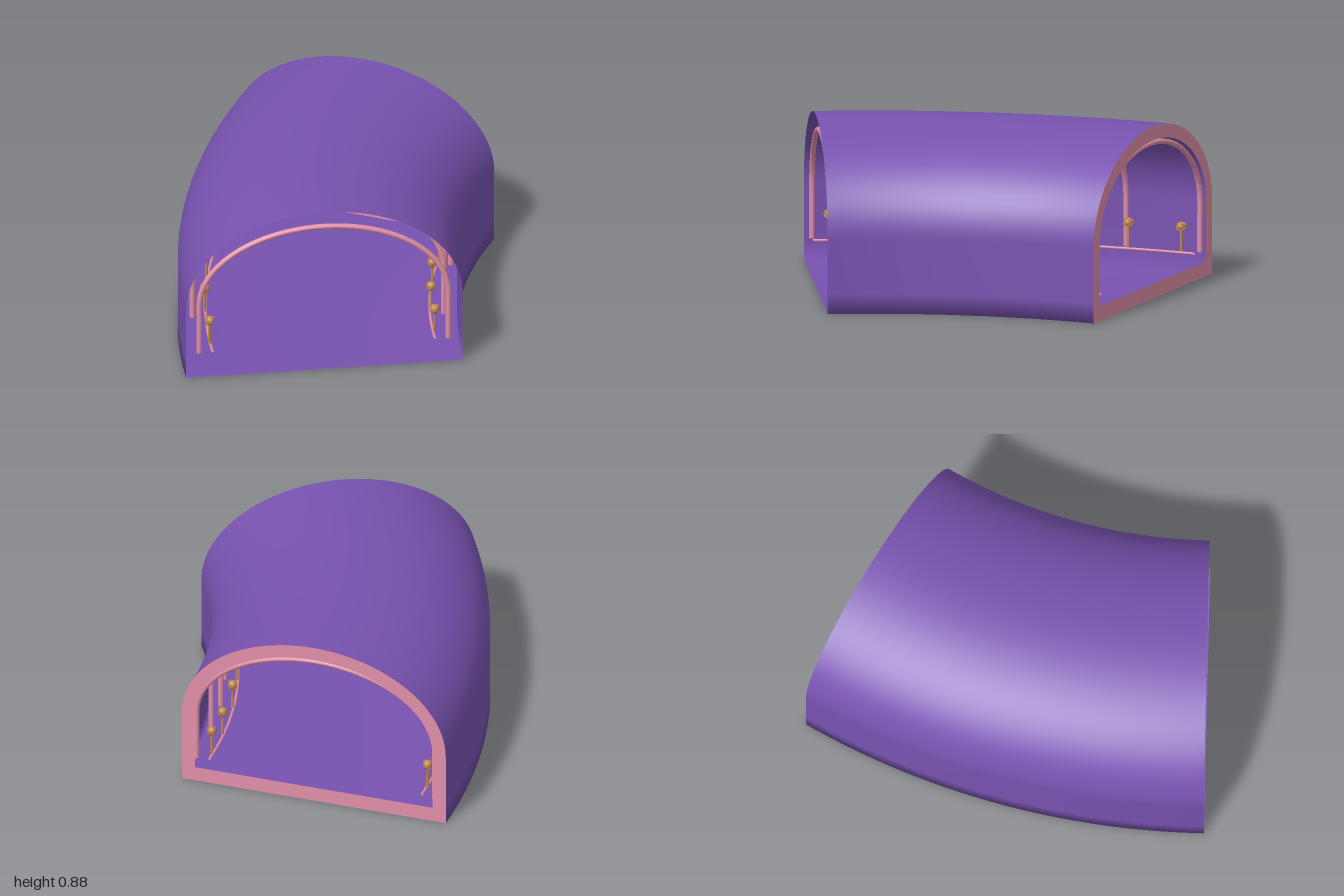
import * as THREE from 'three';

const CX = 3.125;      // centre of the bend
const R = 3.3025;      // bend radius of the centre line
const HALF = 0.6975;   // half width of the tunnel
const SPRING = 0.38;   // height where the vault starts
const TOP = 0.875;
const BEND = Math.PI / 6;
const rad = THREE.MathUtils.degToRad;

const material = (name, color, side = THREE.FrontSide) => {
  const m = new THREE.MeshStandardMaterial({ color, side });
  m.name = name;
  return m;
};

// Point on the bent tunnel: angle along the bend, offset across it, height
const onBend = (a, offset, y) => new THREE.Vector3(
  CX - (R - offset) * Math.cos(a), y, 1 - (R - offset) * Math.sin(a));

// Arch outline from the -x foot over the top to the +x foot
function archPoints(half, top, feet, steps = 40) {
  const pts = feet.map((y) => new THREE.Vector2(-half, y));
  for (let i = 0; i <= steps; i++) {
    const t = Math.PI * (1 - i / steps);
    pts.push(new THREE.Vector2(half * Math.cos(t), SPRING + (top - SPRING) * Math.sin(t)));
  }
  [...feet].reverse().forEach((y) => pts.push(new THREE.Vector2(half, y)));
  return pts;
}

// Closed section (vault, walls and floor) swept along the bend
function shellGeometry() {
  const section = archPoints(HALF, TOP, [0, 0.1]);
  const n = section.length, rows = 32;
  const pos = [], index = [];
  for (let j = 0; j <= rows; j++) {
    for (const p of section) pos.push(...onBend(BEND * j / rows, p.x, p.y).toArray());
  }
  for (let j = 0; j < rows; j++) {
    for (let i = 0; i < n; i++) {
      const a = j * n + i, b = j * n + (i + 1) % n, c = a + n, d = b + n;
      index.push(a, b, c, b, d, c);
    }
  }
  const g = new THREE.BufferGeometry();
  g.setAttribute('position', new THREE.Float32BufferAttribute(pos, 3));
  g.setIndex(index);
  g.computeVertexNormals();
  return g;
}

export function createModel() {
  const model = new THREE.Group();
  model.name = 'curvedTunnel';
  const purple = material('purple', 0x7852b0, THREE.DoubleSide);
  const pinkSheet = material('pink', 0xe08fa8, THREE.DoubleSide);
  const gold = material('gold', 0xc08a50);

  const add = (parent, name, geometry, mat) => {
    const mesh = new THREE.Mesh(geometry, mat);
    mesh.name = name;
    parent.add(mesh);
    return mesh;
  };
  // Group standing across the tunnel at a given angle of the bend
  const station = (name, a, offset = 0) => {
    const g = new THREE.Group();
    g.name = name;
    g.position.copy(onBend(a, offset, 0));
    g.rotation.y = -a;
    model.add(g);
    return g;
  };

  add(model, 'tunnelShell', shellGeometry(), purple);

  // Flat rim closing the edge of the rear opening
  const rim = new THREE.Shape(archPoints(HALF, TOP, [0]));
  rim.holes.push(new THREE.Path(archPoints(HALF - 0.07, TOP - 0.07, [0.075]).reverse()));
  add(station('rearEnd', BEND), 'rearRim', new THREE.ShapeGeometry(rim), pinkSheet);

  // Ribs under the vault
  const ribPath = new THREE.CatmullRomCurve3(
    archPoints(HALF - 0.07, 0.782, [0.12, 0.2, 0.3], 30).map((p) => new THREE.Vector3(p.x, p.y, 0)));
  const ribGeometry = new THREE.TubeGeometry(ribPath, 80, 0.014, 10);
  for (let i = 0; i < 6; i++) {
    add(station('ribStation', rad(0.5 + 5.8 * i)), 'rib', ribGeometry, pinkSheet);
  }

  // Rails along both walls, with a row of lamps on each
  const post = new THREE.CylinderGeometry(0.006, 0.008, 0.12, 8).translate(0, 0.18, 0);
  const bulb = new THREE.SphereGeometry(0.024, 16, 12);
  const ring = new THREE.TorusGeometry(0.025, 0.0035, 6, 20);
  for (const side of [-1, 1]) {
    const pts = [];
    for (let i = 0; i <= 12; i++) pts.push(onBend(rad(0.5 + 29 * i / 12), side * 0.56, 0.122));
    add(model, 'rail', new THREE.TubeGeometry(new THREE.CatmullRomCurve3(pts), 40, 0.007, 8), pinkSheet);

    for (const deg of [1.7, 7, 12.5, 18.4, 24.2, 28.4]) {
      const lamp = station('lamp', rad(deg), side * 0.565);
      add(lamp, 'lampPost', post, gold);
      add(lamp, 'lampBulb', bulb, gold).position.y = 0.255;
      for (const turn of [-1, 1]) {
        const cage = add(lamp, 'lampCage', ring, gold);
        cage.position.y = 0.255;
        cage.rotation.set(0, Math.PI / 2, turn * Math.PI / 4, 'ZYX');
      }
    }
  }
  return model;
}
